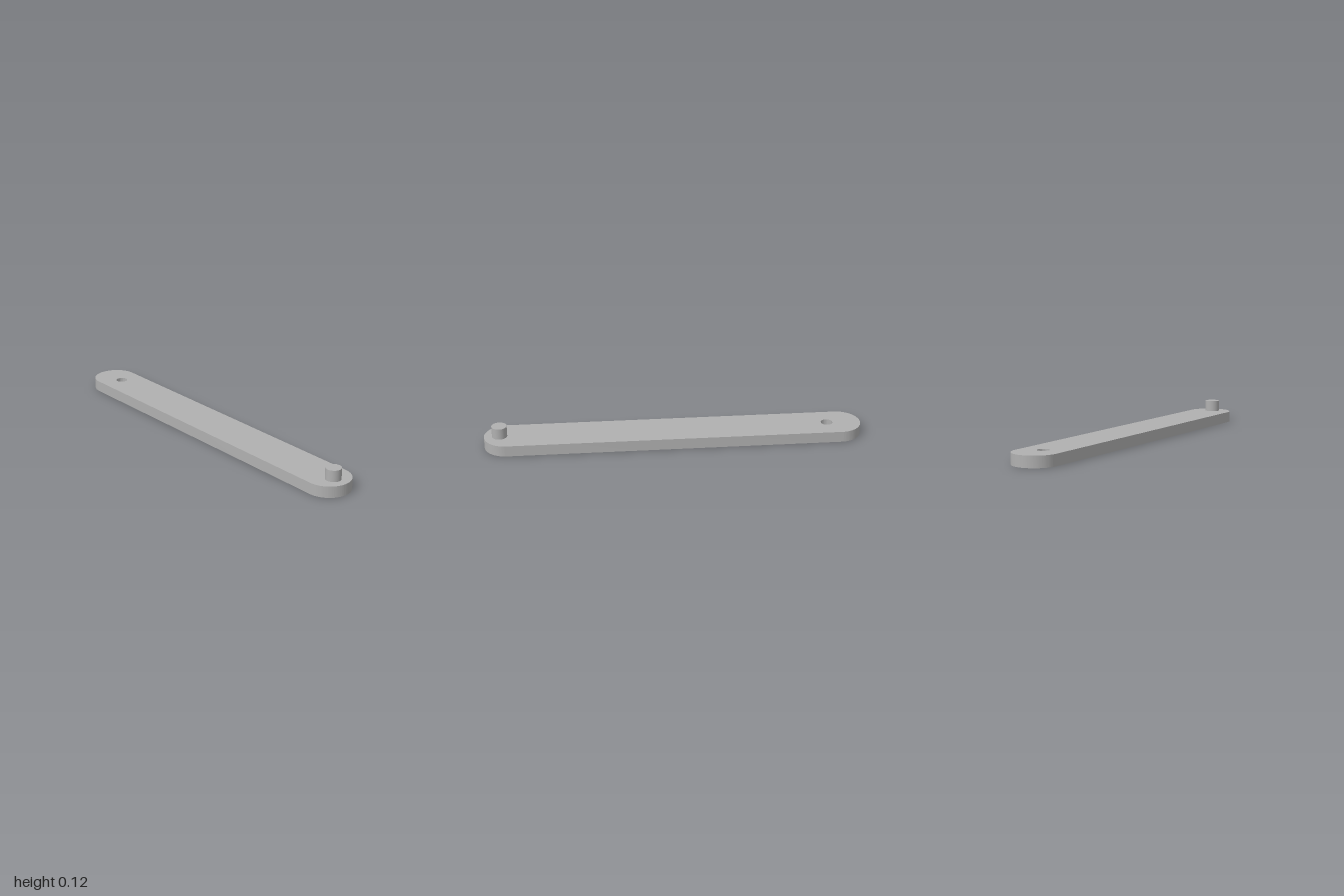
import * as THREE from 'three';
import { toCreasedNormals } from 'three/addons/utils/BufferGeometryUtils.js';

const R = 0.1175;          // half width of the bar
const T = 0.059;           // bar thickness
const HOLE = { x: -0.82, r: 0.031, floor: 0.02 };
const PIN = { x: 0.918, r: 0.04, top: 0.118 };

export function createModel() {
  const grey = new THREE.MeshStandardMaterial({ color: 0xb0b0b0 });
  grey.name = 'grey';
  const model = new THREE.Group();
  model.name = 'crankArm';

  const add = (name, geometry, x = 0, y = 0) => {
    const mesh = new THREE.Mesh(geometry, grey);
    mesh.name = name;
    mesh.position.set(x, y, 0);
    model.add(mesh);
  };

  // Bar with rounded ends and a round socket near its right end
  const outline = new THREE.Shape();
  outline.absarc(1 - R, 0, R, -Math.PI / 2, Math.PI / 2, false);
  outline.absarc(-1 + R, 0, R, Math.PI / 2, Math.PI * 1.5, false);
  outline.closePath();
  const hole = new THREE.Path();
  hole.absarc(HOLE.x, 0, HOLE.r, 0, Math.PI * 2, true);
  outline.holes.push(hole);
  const bar = new THREE.ExtrudeGeometry(outline, { depth: T, bevelEnabled: false, curveSegments: 32 });
  bar.rotateX(-Math.PI / 2);
  add('bar', toCreasedNormals(bar, 0.6));

  // Floor that closes the socket from below
  add('socketFloor', new THREE.CylinderGeometry(HOLE.r, HOLE.r, HOLE.floor, 32), HOLE.x, HOLE.floor / 2);

  // Upright pin near the left end
  const pinHeight = PIN.top - T;
  add('pin', new THREE.CylinderGeometry(PIN.r, PIN.r, pinHeight, 48), PIN.x, T + pinHeight / 2);

  return model;
}
